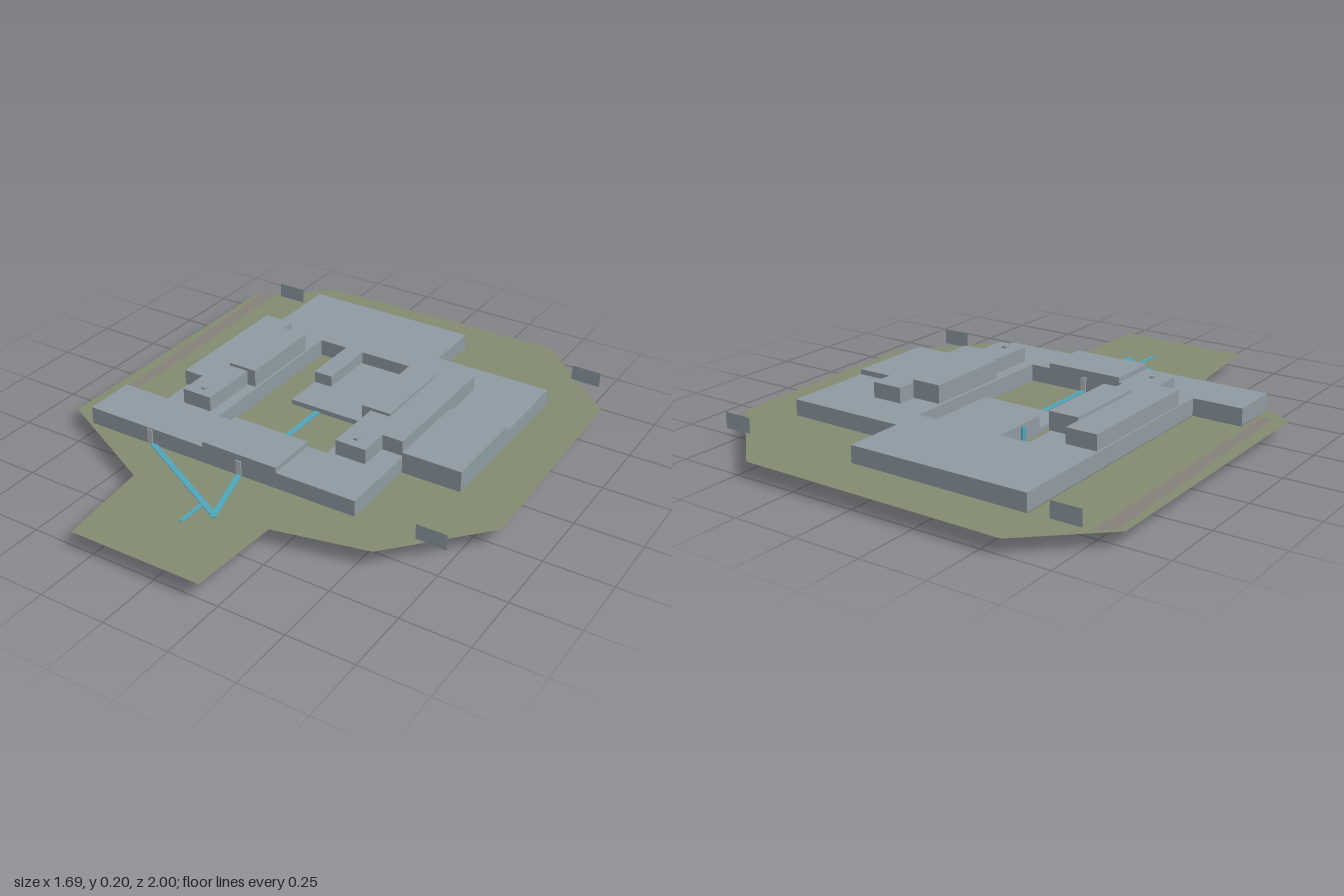
import * as THREE from 'three';

const mat = (name, color, side = THREE.FrontSide) => {
  const m = new THREE.MeshStandardMaterial({ color, side });
  m.name = name;
  return m;
};

export function createModel() {
  const root = new THREE.Group();
  root.name = 'siteModel';
  const grey = mat('building grey', 0x8e99a1, THREE.DoubleSide);
  const green = mat('ground green', 0x828a70, THREE.DoubleSide);
  const cyan = mat('path cyan', 0x50a3b8, THREE.DoubleSide);
  const road = mat('road taupe', 0x857f78, THREE.DoubleSide);
  const pale = mat('door pale grey', 0xb4babd);

  const add = (name, geo, m, parent = root) => {
    const mesh = new THREE.Mesh(geo, m);
    mesh.name = name;
    parent.add(mesh);
    return mesh;
  };
  // box given by its limits
  const box = (name, x0, x1, y0, y1, z0, z1, m = grey, parent = root) => {
    const g = new THREE.BoxGeometry(x1 - x0, y1 - y0, z1 - z0);
    g.translate((x0 + x1) / 2, (y0 + y1) / 2, (z0 + z1) / 2);
    return add(name, g, m, parent);
  };
  // plan outlines are lists of [x, z]
  const vecs = (pts) => pts.map(([x, z]) => new THREE.Vector2(x, z));
  const plan = (pts, holes = []) => {
    const s = new THREE.Shape(vecs(pts));
    holes.forEach((h) => s.holes.push(new THREE.Path(vecs(h))));
    return s;
  };
  const flat = (name, shape, y, m) => {
    const g = new THREE.ShapeGeometry(shape);
    g.rotateX(Math.PI / 2);
    g.translate(0, y, 0);
    return add(name, g, m);
  };
  const prism = (name, shape, y0, y1, m, parent = root) => {
    const g = new THREE.ExtrudeGeometry(shape, { depth: y1 - y0, bevelEnabled: false });
    g.rotateX(Math.PI / 2);
    g.translate(0, y1, 0);
    return add(name, g, m, parent);
  };

  const footprint = [[-0.535, -0.81], [0.165, -0.81], [0.165, -0.58], [0.63, -0.58], [0.63, 0.12],
    [0.4, 0.12], [0.4, 0.435], [-0.73, 0.435], [-0.73, 0.235], [-0.535, 0.235]];
  const yard = [[-0.3, -0.46], [-0.185, -0.46], [-0.185, -0.07], [0.165, -0.07], [0.165, 0.235], [-0.3, 0.235]];
  const opening = [[-0.3, 0.235], [0.165, 0.235], [0.165, -0.46], [-0.11, -0.46], [-0.11, -0.23],
    [-0.185, -0.23], [-0.185, -0.46], [-0.3, -0.46]];

  // gently tilted ground around the building, and the courtyard floor
  const ground = flat('ground', plan([[-0.575, -1], [0.455, -1], [0.82, -0.65], [0.845, 0.24], [0.55, 0.57],
    [0.2, 0.645], [0.18, 1], [-0.34, 1], [-0.38, 0.63], [-0.845, 0.39], [-0.845, -0.75]], [footprint]), 0.056, green);
  const p = ground.geometry.attributes.position;
  for (let i = 0; i < p.count; i++) p.setY(i, 0.056 + 0.005 * p.getX(i));
  ground.geometry.computeVertexNormals();
  flat('courtyard', plan(yard), 0.055, green);
  flat('road', plan([[-0.82, -0.76], [-0.765, -0.8], [-0.75, 0.36], [-0.79, 0.36]]), 0.0535, road);

  // ground floor, raised roofs and the sunken block
  prism('groundFloor', plan(footprint, [opening]), 0.055, 0.12, grey);
  box('entranceRoof', -0.225, 0.085, 0.12, 0.14, 0.235, 0.435);
  box('sideHallRoof', 0.4, 0.63, 0.12, 0.14, -0.23, 0.12);
  box('basement', -0.185, 0.165, 0, 0.075, -0.455, -0.07);

  // upper floors, mirrored about the courtyard axis at x = -0.07
  for (const s of [1, -1]) {
    const wing = new THREE.Group();
    wing.name = s > 0 ? 'leftUpperFloor' : 'rightUpperFloor';
    const X = (x) => (s > 0 ? x : -0.137 - x);
    const outline = [[0.165, -0.345], [0.28, -0.345], [0.28, -0.42], [0.4, -0.42], [0.4, 0.12],
      [0.32, 0.12], [0.32, 0.235], [0.2, 0.235], [0.2, 0], [0.165, 0]];
    prism('upperRooms', plan(outline.map(([x, z]) => [X(x), z])), 0.127, 0.185, grey, wing);
    const lim = (a, b) => [X(a), X(b)].sort((m, n) => m - n);
    box('raisedRoof', ...lim(0.165, 0.28), 0.185, 0.196, -0.345, 0, grey, wing);
    box('roofVent', ...lim(0.25, 0.265), 0.185, 0.192, 0.175, 0.2, grey, wing);
    root.add(wing);
  }

  // paths: thin strips between two plan points
  const strip = (x0, z0, x1, z1, y, w = 0.022) => {
    const dx = x1 - x0, dz = z1 - z0, len = Math.hypot(dx, dz);
    const g = new THREE.BoxGeometry(len, 0.003, w);
    g.rotateY(-Math.atan2(dz, dx));
    g.translate((x0 + x1) / 2, y, (z0 + z1) / 2);
    add('path', g, cyan);
  };
  strip(-0.07, -0.07, -0.07, 0.235, 0.058);
  strip(-0.07, 0.435, 0.005, 0.69, 0.058);
  strip(-0.45, 0.435, 0.005, 0.68, 0.058);
  strip(-0.07, 0.65, -0.07, 0.765, 0.058, 0.016);

  // doors
  for (const x of [-0.07, -0.46]) box('frontDoor', x - 0.011, x + 0.011, 0.057, 0.115, 0.433, 0.438, pale);
  box('courtyardDoor', -0.081, -0.059, 0.057, 0.112, 0.231, 0.237, pale);
  box('slotDoor', -0.192, -0.184, 0.057, 0.112, -0.342, -0.322, cyan);

  // free-standing corner panels
  for (const [x, z] of [[-0.675, -0.81], [0.688, -0.81], [0.688, 0.435]]) {
    const g = new THREE.PlaneGeometry(0.115, 0.06);
    g.translate(x, 0.087, z);
    add('cornerPanel', g, grey);
  }
  return root;
}
